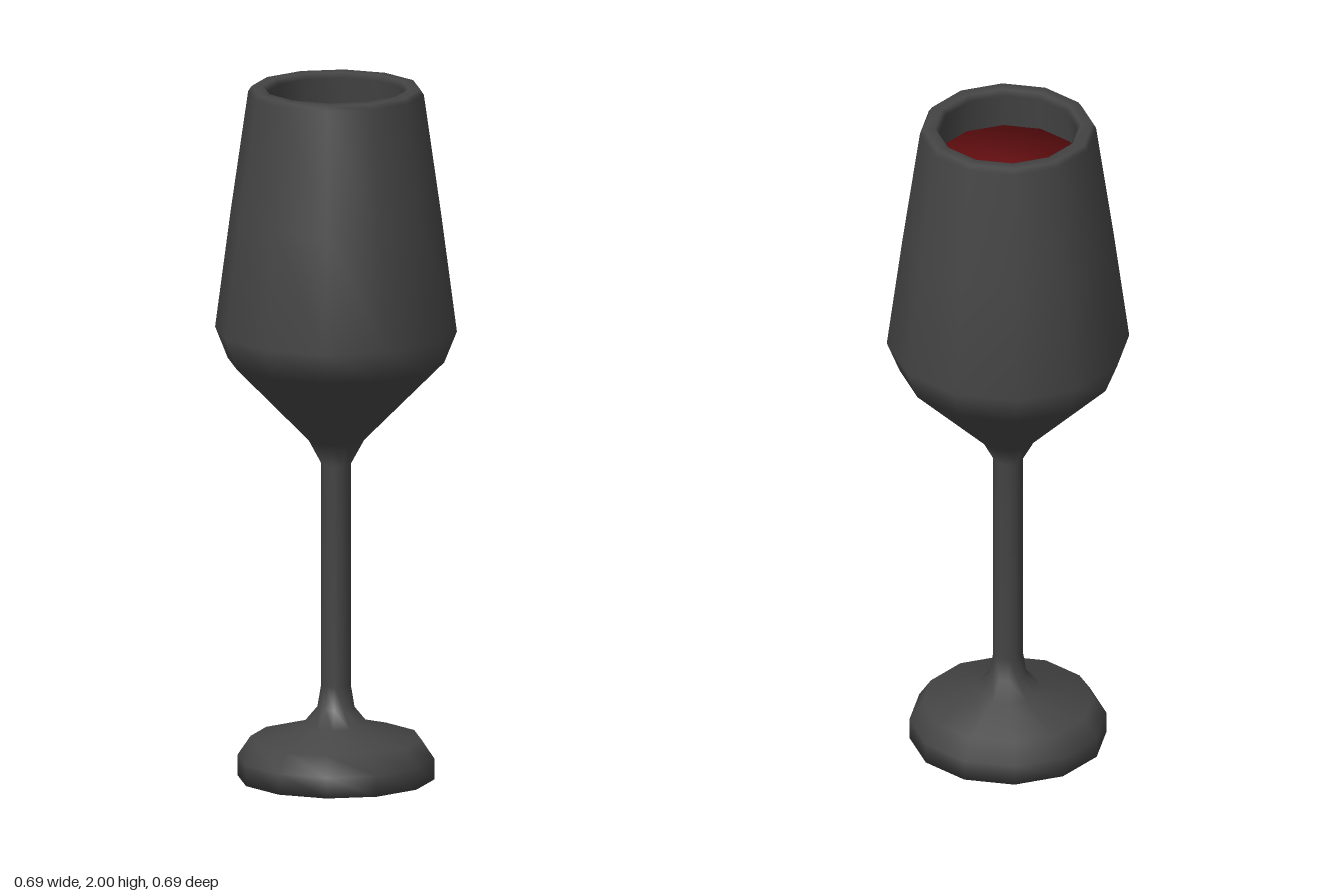
import * as THREE from 'three';

const SIDES = 12;

export function createModel() {
  const model = new THREE.Group();
  model.name = 'wineGlass';

  const glass = new THREE.MeshStandardMaterial({ color: 0x444444 });
  glass.name = 'dark grey glass';
  const red = new THREE.MeshStandardMaterial({ color: 0x660f11 });
  red.name = 'red wine';

  // Turned part with smooth normals; profile runs from the bottom axis outward and up
  const turn = (name, profile, material) => {
    const points = profile.map(([r, y]) => new THREE.Vector2(r, y));
    const mesh = new THREE.Mesh(new THREE.LatheGeometry(points, SIDES), material);
    mesh.name = name;
    model.add(mesh);
  };

  // Foot, stem, bowl, rounded rim and inner wall in one continuous skin
  turn('glassBody', [
    [0, 0], [0.28, 0], [0.28, 0.06], [0.243, 0.115],          // foot
    [0.095, 0.155], [0.053, 0.205], [0.042, 0.27],            // flare into stem
    [0.042, 0.91], [0.08, 0.98],                              // stem
    [0.308, 1.21], [0.344, 1.3], [0.3, 1.635],                // bowl
    [0.25, 1.985], [0.24, 2], [0.207, 2], [0.196, 1.985],     // rim
    [0.25, 1.62], [0.285, 1.31], [0.25, 1.23], [0, 1.0],      // inside
  ], glass);

  // Wine filling the bowl, its surface just below the rim
  turn('wine', [
    [0, 1.02], [0.245, 1.24], [0.278, 1.31], [0.245, 1.62], [0.211, 1.88], [0, 1.88],
  ], red);

  return model;
}
